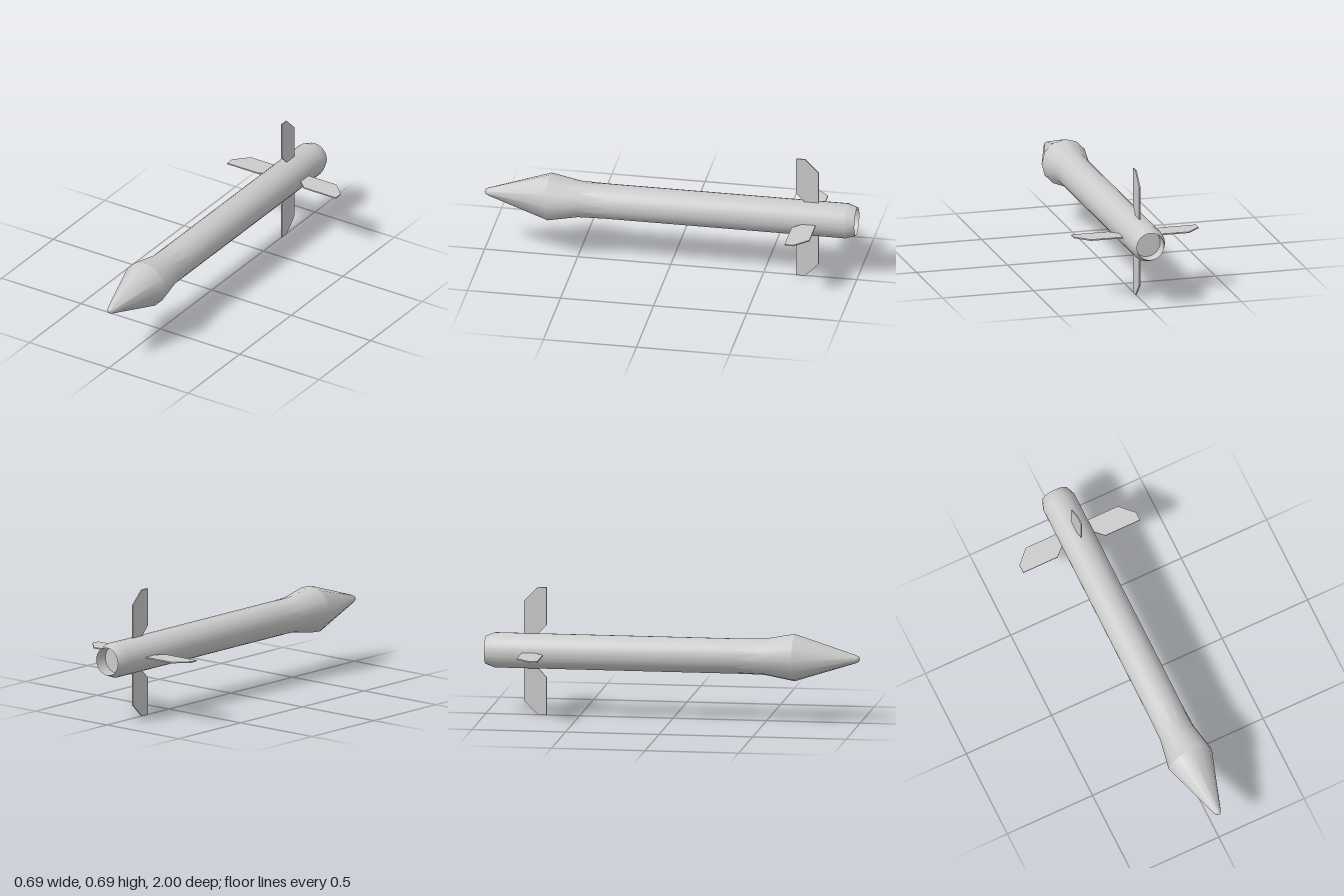
import * as THREE from 'three';
import { toCreasedNormals } from 'three/addons/utils/BufferGeometryUtils.js';

const material = new THREE.MeshStandardMaterial({ color: 0xcccccc });
const AXIS_Y = 0.3425;

// Turned part along z; profile is [radius, z] pairs running from back to front
function turned(name, profile, sides, crease = 0.6) {
  const points = profile.map(([r, z]) => new THREE.Vector2(r, z));
  const geometry = new THREE.LatheGeometry(points, sides).rotateX(Math.PI / 2);
  const mesh = new THREE.Mesh(toCreasedNormals(geometry, crease), material);
  mesh.name = name;
  return mesh;
}

// Thin swept fin lying in the xz plane, with clipped tip and root corners
function finGeometry() {
  const outline = [
    [0.085, -0.795], [0.27, -0.795], [0.3425, -0.722],
    [0.3425, -0.675], [0.14, -0.675], [0.095, -0.718], [0.085, -0.718],
  ].map(([r, z]) => new THREE.Vector2(r, z));
  const thickness = 0.007;
  return new THREE.ExtrudeGeometry(new THREE.Shape(outline), { depth: thickness, bevelEnabled: false })
    .translate(0, 0, -thickness / 2)
    .rotateX(Math.PI / 2);
}

export function createModel() {
  const model = new THREE.Group();
  model.name = 'missile';

  const airframe = new THREE.Group();
  airframe.name = 'airframe';
  airframe.position.y = AXIS_Y;
  model.add(airframe);

  // Tube with tapered tail and recessed nozzle
  airframe.add(turned('body', [
    [0, -0.93], [0.073, -0.93], [0.075, -1], [0.0935, -0.95], [0.0935, 0.5],
  ], 24, 0.4));

  // Faceted collar flaring to the widest ring
  airframe.add(turned('collar', [[0.093, 0.32], [0.097, 0.49], [0.127, 0.65]], 12));

  // Nose cone with a rounded tip
  airframe.add(turned('noseCone', [
    [0.127, 0.65], [0.022, 0.977], [0.014, 0.993], [0, 1],
  ], 12, 0.9));

  // Four tail fins
  const geometry = finGeometry();
  for (let i = 0; i < 4; i++) {
    const fin = new THREE.Mesh(geometry, material);
    fin.name = ['leftFin', 'topFin', 'rightFin', 'bottomFin'][i];
    fin.rotation.z = (i * Math.PI) / 2;
    airframe.add(fin);
  }

  return model;
}
